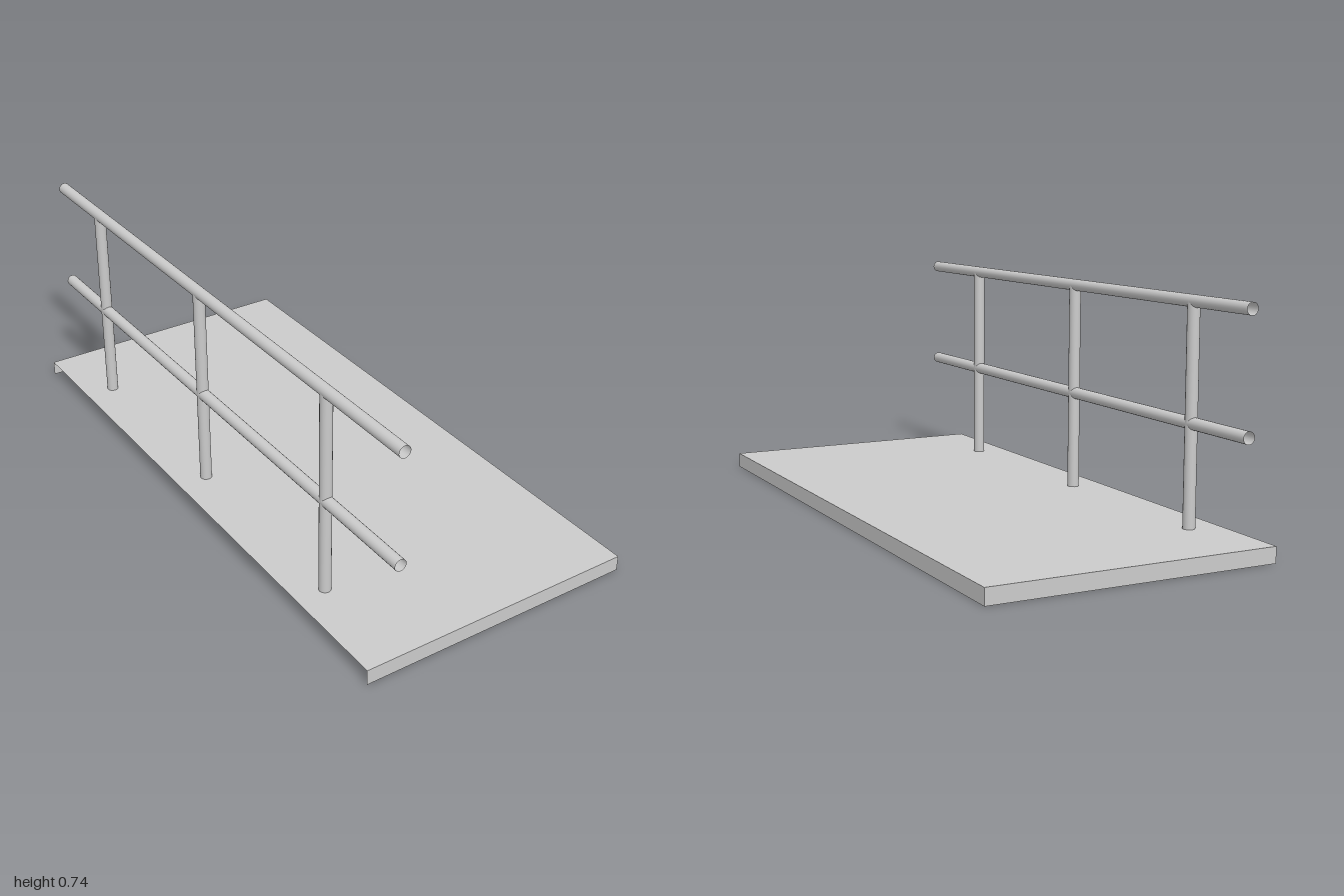
import * as THREE from 'three';

export function createModel() {
  const model = new THREE.Group();
  const material = new THREE.MeshStandardMaterial({ color: 0xcccccc, side: THREE.DoubleSide });

  const W = 0.922, L = 2, H = 0.05; // deck size
  const railX = -0.361, R = 0.019;  // railing line and pipe radius
  const topY = 0.722, midY = 0.365;

  function add(name, geometry, x, y, z) {
    const mesh = new THREE.Mesh(geometry, material);
    mesh.name = name;
    mesh.position.set(x, y, z);
    model.add(mesh);
    return mesh;
  }

  // Open-ended pipe, upright by default
  const pipe = (length) => new THREE.CylinderGeometry(R, R, length, 20, 1, true);

  // Deck sheet with skirts folded down on three sides; the railing side is open
  add('deckTop', new THREE.PlaneGeometry(W, L).rotateX(-Math.PI / 2), 0, H, 0);
  add('frontSkirt', new THREE.PlaneGeometry(W, H), 0, H / 2, L / 2);
  add('backSkirt', new THREE.PlaneGeometry(W, H).rotateY(Math.PI), 0, H / 2, -L / 2);
  add('leftSkirt', new THREE.PlaneGeometry(L, H).rotateY(Math.PI / 2), W / 2, H / 2, 0);

  // Posts pass slightly through the deck and end inside the top rail
  const postBottom = 0.025;
  for (const z of [0.645, -0.048, -0.717]) {
    add('post', pipe(topY - postBottom), railX, (topY + postBottom) / 2, z);
  }

  // Horizontal rails
  const railLength = 1.993;
  for (const [name, y] of [['topRail', topY], ['middleRail', midY]]) {
    add(name, pipe(railLength).rotateX(Math.PI / 2), railX, y, 1 - railLength / 2);
  }

  return model;
}
